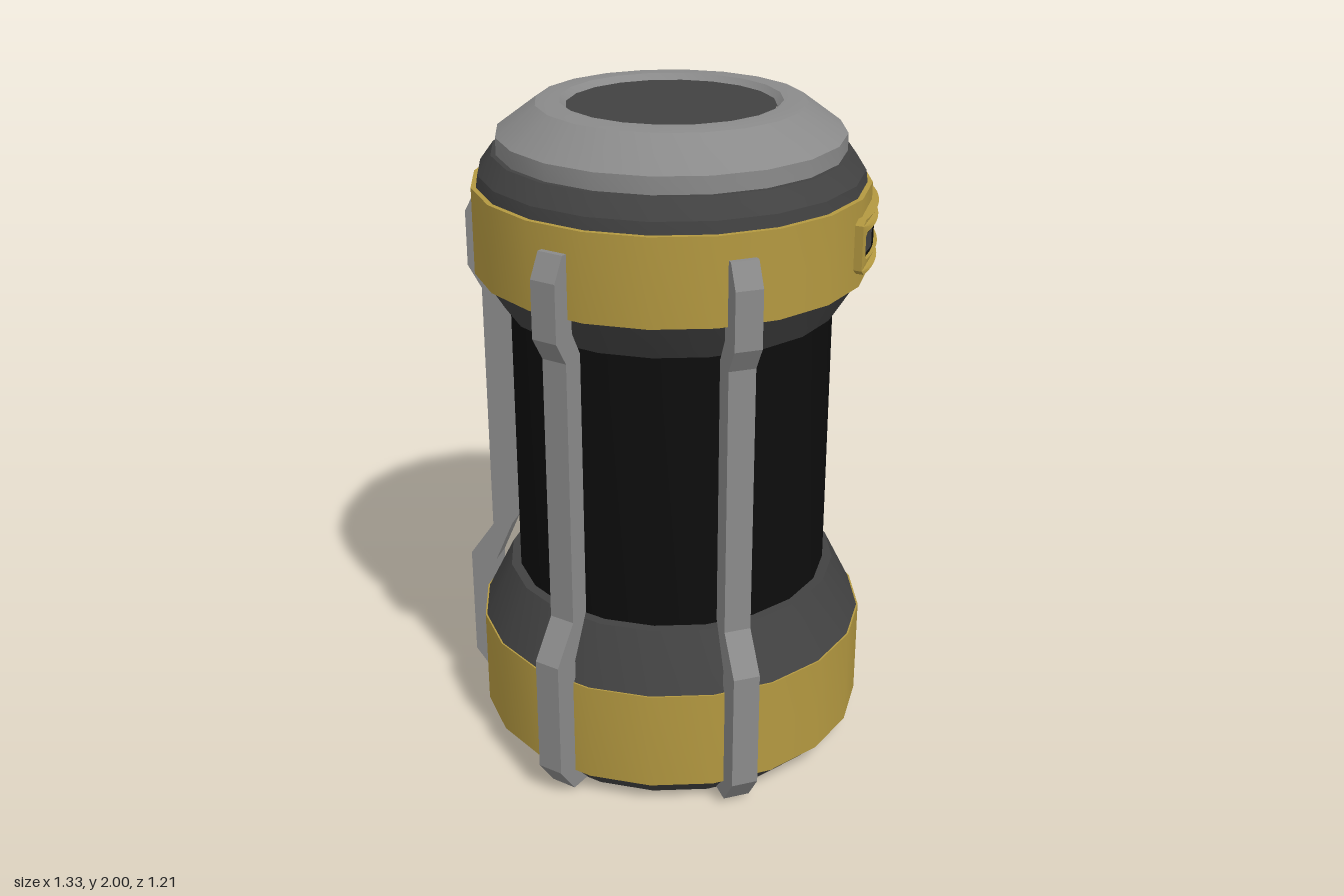
import * as THREE from 'three';
import { toCreasedNormals } from 'three/addons/utils/BufferGeometryUtils.js';

const mat = (name, color) => {
  const m = new THREE.MeshStandardMaterial({ color });
  m.name = name;
  return m;
};
const rad = THREE.MathUtils.degToRad;
const SIDES = 20;

export function createModel() {
  const yellow = mat('yellow paint', 0xb39840);
  const grey = mat('grey metal', 0x8a8a8a);
  const dark = mat('dark metal', 0x424242);
  const black = mat('black core', 0x0d0d0d);

  const group = new THREE.Group();
  group.name = 'canister';
  const add = (name, geo, material, parent = group) => {
    const mesh = new THREE.Mesh(geo, material);
    mesh.name = name;
    parent.add(mesh);
    return mesh;
  };
  // Turned section from [radius, height] pairs, listed bottom to top
  const turned = (name, profile, material) => add(name, toCreasedNormals(
    new THREE.LatheGeometry(profile.map(p => new THREE.Vector2(...p)), SIDES), 0.38), material);

  // Stacked body
  turned('base', [[0, 0], [0.53, 0], [0.595, 0.07]], dark);
  turned('lowerBand', [[0.58, 0.07], [0.6, 0.07], [0.6, 0.38], [0.58, 0.38]], yellow);
  turned('lowerCollar', [[0.595, 0.38], [0.51, 0.55], [0.46, 0.55]], dark);
  turned('core', [[0.48, 0.54], [0.48, 1.41]], black);
  turned('upperCollar', [[0.46, 1.4], [0.495, 1.4], [0.57, 1.52]], dark);
  turned('upperBand', [[0.56, 1.515], [0.58, 1.515], [0.58, 1.77], [0.55, 1.77]], yellow);
  turned('neck', [[0.565, 1.77], [0.56, 1.805], [0.52, 1.86], [0.49, 1.86]], dark);
  turned('cap', [[0.505, 1.855], [0.505, 1.91], [0.39, 1.995], [0.36, 2], [0.32, 2], [0.3, 1.98]], grey);
  turned('capDisc', [[0.302, 1.983], [0, 1.983]], dark);

  // Guard bars around the body, with a gap at the window
  const barShape = new THREE.Shape([
    [0.53, 0.01], [0.6, 0.01], [0.665, 0.1], [0.665, 0.465], [0.585, 0.58], [0.585, 1.39],
    [0.627, 1.46], [0.627, 1.63], [0.59, 1.7], [0.555, 1.7], [0.555, 1.47], [0.52, 1.4],
    [0.52, 0.59], [0.58, 0.45], [0.58, 0.08],
  ].map(p => new THREE.Vector2(...p)));
  const barGeo = new THREE.ExtrudeGeometry(barShape, { depth: 0.08, bevelEnabled: false });
  barGeo.translate(0, 0, -0.04);
  [-9, -62.5, -117.5, 171, 119].forEach((angle, i) => {
    add('guardBar' + (i + 1), barGeo, grey).rotation.y = -rad(angle);
  });

  // Curved window set into the upper band
  const windowGroup = new THREE.Group();
  windowGroup.name = 'window';
  windowGroup.rotation.y = rad(35.5);
  group.add(windowGroup);

  // Chamfered outline in (angle, height), subdivided so that it bends smoothly
  const outline = (w, y0, y1, c) => {
    const pts = [];
    const n = 10;
    for (let i = 0; i <= n; i++) pts.push(new THREE.Vector2(-w + c + (2 * (w - c) * i) / n, y0));
    pts.push(new THREE.Vector2(w, y0 + c / 2), new THREE.Vector2(w, y1 - c / 2));
    for (let i = n; i >= 0; i--) pts.push(new THREE.Vector2(-w + c + (2 * (w - c) * i) / n, y1));
    pts.push(new THREE.Vector2(-w, y1 - c / 2), new THREE.Vector2(-w, y0 + c / 2));
    return pts;
  };
  const frameShape = new THREE.Shape(outline(0.375, 1.56, 1.72, 0.03));
  frameShape.holes.push(new THREE.Path(outline(0.335, 1.6, 1.68, 0.02)));
  const frameGeo = new THREE.ExtrudeGeometry(frameShape, { depth: 0.035, bevelEnabled: false });
  const pos = frameGeo.attributes.position;
  for (let i = 0; i < pos.count; i++) {
    const a = pos.getX(i);
    const r = 0.565 + pos.getZ(i);
    pos.setXYZ(i, r * Math.sin(a), pos.getY(i), r * Math.cos(a));
  }
  add('windowFrame', toCreasedNormals(frameGeo, 0.38), yellow, windowGroup);

  // Curved panes inside the frame
  const pane = (name, r, y0, y1, start, length, material) => add(name,
    new THREE.LatheGeometry([new THREE.Vector2(r, y0), new THREE.Vector2(r, y1)], 12, start, length),
    material, windowGroup);
  pane('windowPane', 0.589, 1.595, 1.685, -0.345, 0.69, black);
  pane('windowGlint', 0.592, 1.615, 1.67, -0.3, 0.12, dark);

  return group;
}
